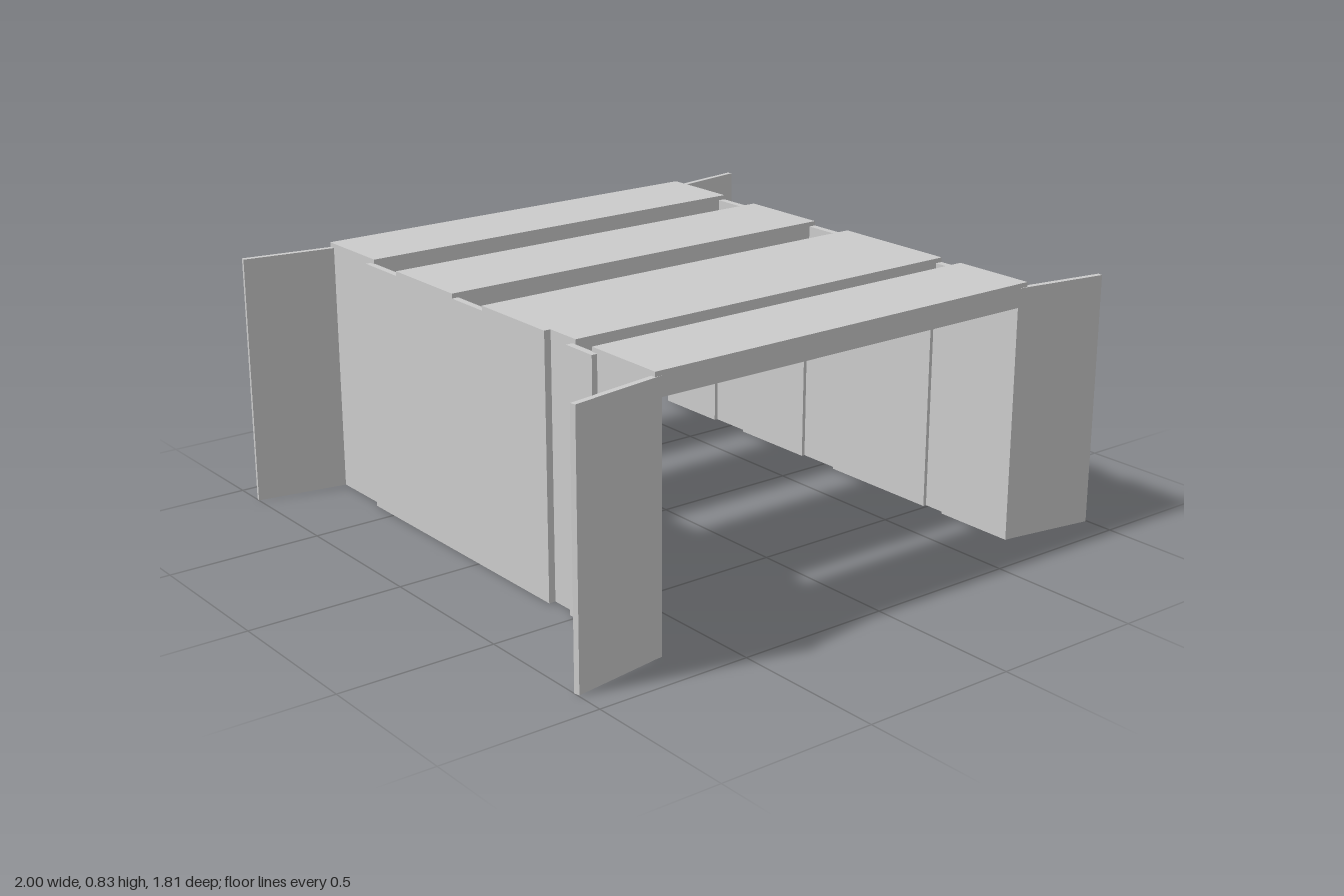
import * as THREE from 'three';

const material = new THREE.MeshStandardMaterial({ color: 0xcccccc, flatShading: true });

const WALL_H = 0.815, ROOF_Y = 0.83, SOFFIT_Y = 0.755, INNER = 0.68, RIGHT = 0.716;

function add(group, name, geometry) {
  const mesh = new THREE.Mesh(geometry, material);
  mesh.name = name;
  group.add(mesh);
  return mesh;
}

// Box given by its limits on each axis
function block(x0, x1, y0, y1, z0, z1) {
  const g = new THREE.BoxGeometry(x1 - x0, y1 - y0, z1 - z0);
  return g.translate((x0 + x1) / 2, (y0 + y1) / 2, (z0 + z1) / 2);
}

// Portal outline (two legs and a deck) extruded along z
function portal(left, z0, z1) {
  const s = new THREE.Shape([
    [left, 0], [-INNER, 0], [-INNER, SOFFIT_Y], [INNER, SOFFIT_Y],
    [INNER, 0], [RIGHT, 0], [RIGHT, ROOF_Y], [left, ROOF_Y],
  ].map(([x, y]) => new THREE.Vector2(x, y)));
  return new THREE.ExtrudeGeometry(s, { depth: z1 - z0, bevelEnabled: false }).translate(0, 0, z0);
}

// Upright plate whose plan is a four-cornered outline in x and z
function wing(plan) {
  const s = new THREE.Shape(plan.map(([x, z]) => new THREE.Vector2(x, -z)));
  return new THREE.ExtrudeGeometry(s, { depth: WALL_H, bevelEnabled: false }).rotateX(-Math.PI / 2);
}

export function createModel() {
  const group = new THREE.Group();
  group.name = 'culvert';

  // Roof slabs with their wall panels: left edge, z start, z end
  [
    [-0.703, -0.858, -0.583],
    [-0.72, -0.423, -0.106],
    [-0.72, 0.054, 0.37],
    [-0.698, 0.37, 0.49],
    [-0.702, 0.572, 0.853],
  ].forEach(([left, z0, z1], i) => add(group, `portalFrame${i + 1}`, portal(left, z0, z1)));

  // Thin wall plates closing the sides at the roof gaps
  [[-0.583, -0.423], [-0.106, 0.054], [0.49, 0.572]].forEach(([z0, z1], i) =>
    add(group, `rightGapPlate${i + 1}`, block(0.692, RIGHT, 0, WALL_H, z0, z1)));
  [[-0.605, -0.423], [-0.106, 0.054], [0.475, 0.595]].forEach(([z0, z1], i) =>
    add(group, `leftGapPlate${i + 1}`, block(-0.72, -0.698, 0, WALL_H, z0, z1)));

  // Splayed wing walls at the four corners
  for (const sx of [-1, 1]) {
    for (const sz of [-1, 1]) {
      const plan = [[INNER, 0.833], [0.715, 0.838], [1, 0.885], [0.996, 0.903], [0.7, 0.855], [INNER, 0.853]];
      add(group, `${sz > 0 ? 'front' : 'back'}${sx > 0 ? 'Left' : 'Right'}WingWall`,
        wing(plan.map(([x, z]) => [sx * x, sz * z])));
    }
  }
  return group;
}
